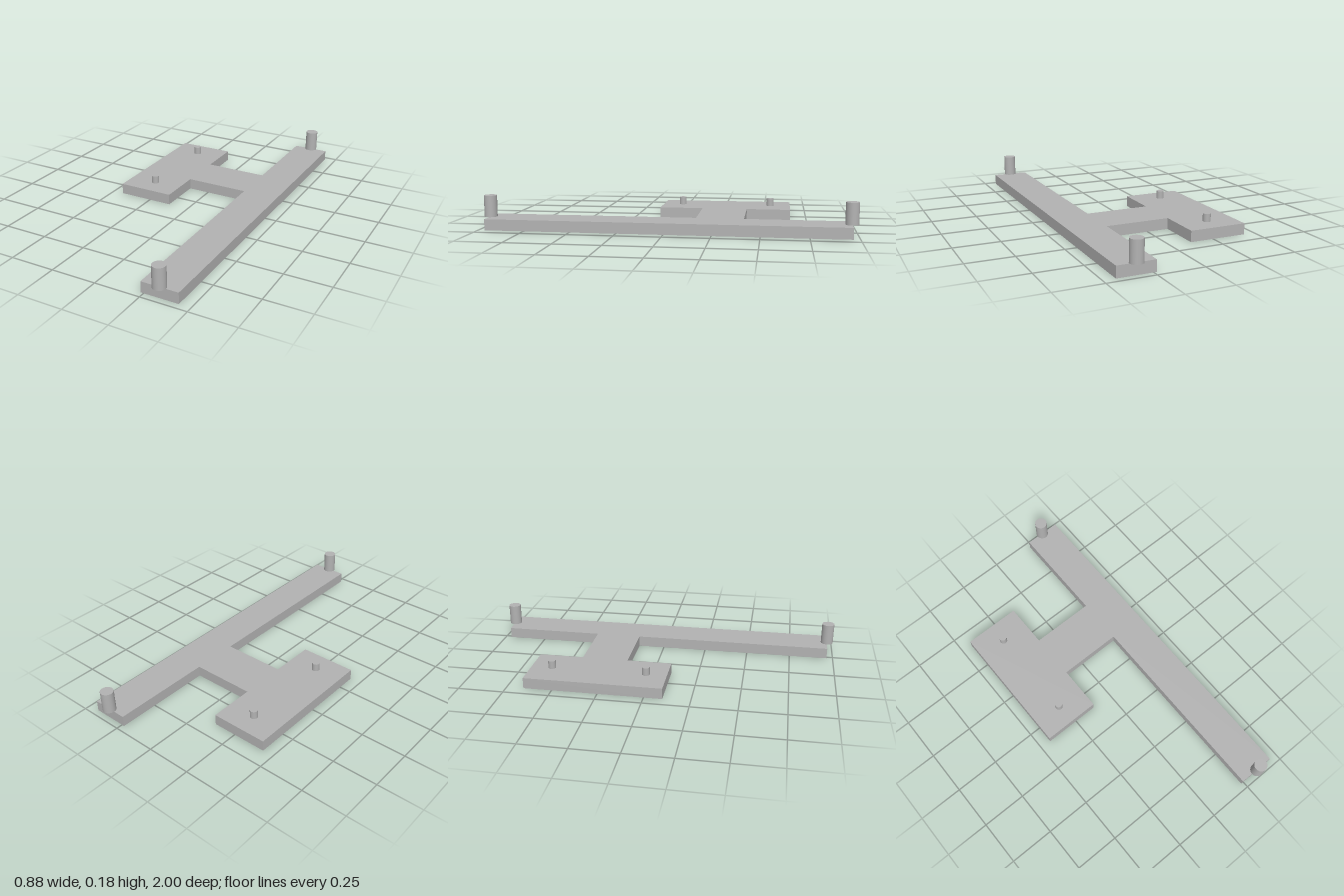
import * as THREE from 'three';

export function createModel() {
  const model = new THREE.Group();
  const grey = new THREE.MeshStandardMaterial({ color: 0xb2b2b2 });
  grey.name = 'plain grey';
  const thickness = 0.06;

  // Flat base: long bar, bridge and side plate in one outline of (x, z) corners
  const outline = [
    [0.235, 0.965], [0.437, 0.965], [0.437, -0.965], [0.235, -0.965],
    [0.235, -0.408], [-0.12, -0.408], [-0.12, -0.657], [-0.438, -0.657],
    [-0.438, 0.1], [-0.12, 0.1], [-0.12, -0.15], [0.235, -0.15],
  ];
  const shape = new THREE.Shape(outline.map(([x, z]) => new THREE.Vector2(x, -z)));
  const baseGeometry = new THREE.ExtrudeGeometry(shape, { depth: thickness, bevelEnabled: false });
  baseGeometry.rotateX(-Math.PI / 2);
  const base = new THREE.Mesh(baseGeometry, grey);
  base.name = 'basePlate';
  model.add(base);

  // Upright pegs standing on the base
  function addPeg(name, x, z, radius, height) {
    const peg = new THREE.Mesh(new THREE.CylinderGeometry(radius, radius, height, 48), grey);
    peg.name = name;
    peg.position.set(x, thickness + height / 2, z);
    model.add(peg);
  }
  addPeg('frontBarPeg', 0.336, 0.965, 0.035, 0.117);
  addPeg('backBarPeg', 0.336, -0.965, 0.035, 0.117);
  addPeg('frontPlatePeg', -0.28, -0.015, 0.021, 0.044);
  addPeg('backPlatePeg', -0.28, -0.54, 0.021, 0.044);

  return model;
}
